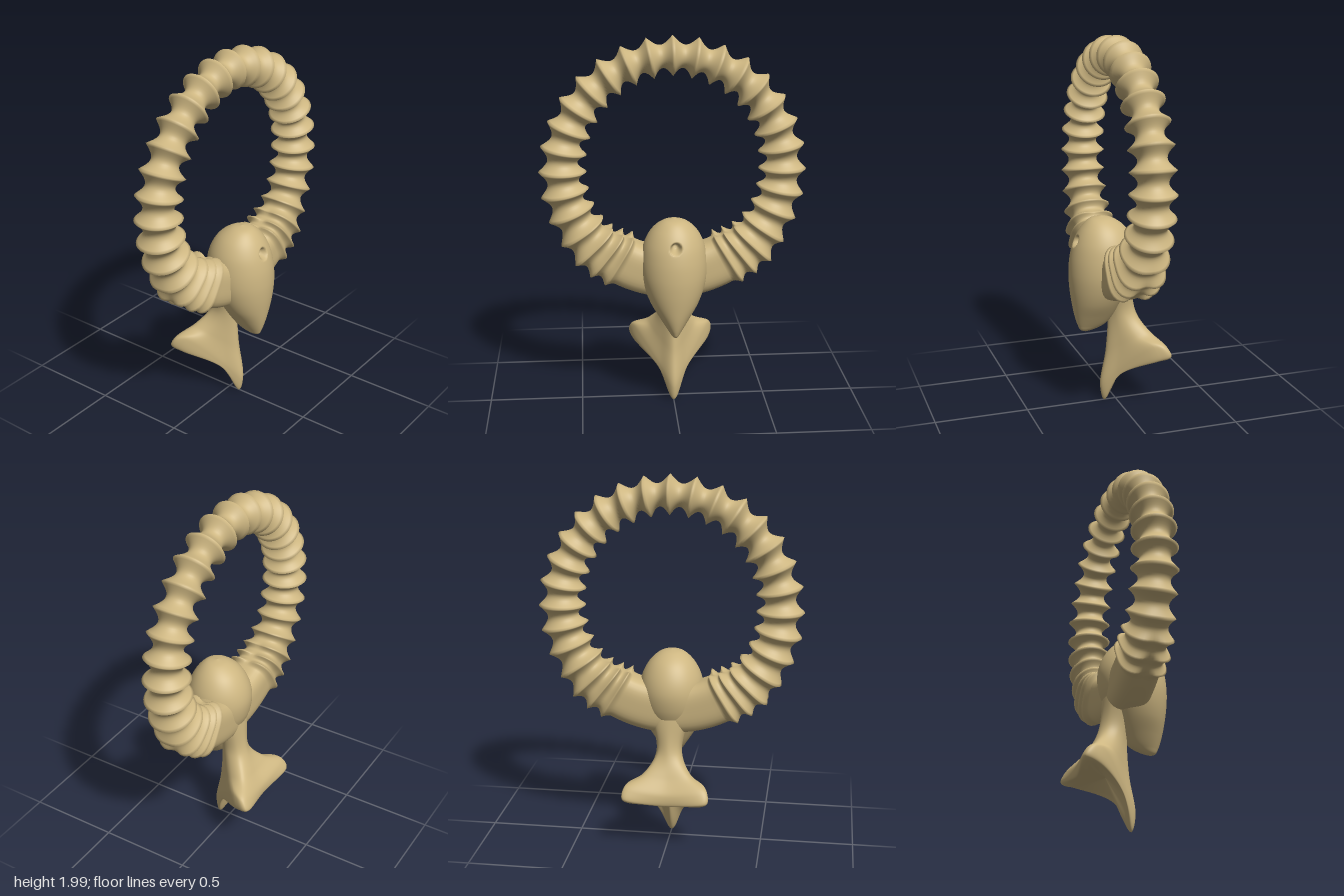
import * as THREE from 'three';

const bone = new THREE.MeshStandardMaterial({ color: 0xcdb681 });
bone.name = 'bone tan';

// Surface through rows of points; every row is a closed loop of equal length
function loft(rows) {
  const n = rows[0].length, pos = [], index = [];
  rows.forEach(r => r.forEach(p => pos.push(p.x, p.y, p.z)));
  for (let i = 0; i < rows.length - 1; i++) {
    for (let j = 0; j < n; j++) {
      const k = (j + 1) % n;
      const a = i * n + j, b = a + n, c = (i + 1) * n + k, d = i * n + k;
      index.push(a, b, d, b, c, d);
    }
  }
  const g = new THREE.BufferGeometry();
  g.setAttribute('position', new THREE.Float32BufferAttribute(pos, 3));
  g.setIndex(index);
  g.computeVertexNormals();
  return g;
}

// Adds smooth in-between rows with a spline down every column
function refine(rows, count) {
  const columns = rows[0].map((_, j) => new THREE.CatmullRomCurve3(rows.map(r => r[j])));
  return Array.from({ length: count + 1 }, (_, i) => columns.map(c => c.getPoint(i / count)));
}

function part(name, geometry) {
  const mesh = new THREE.Mesh(geometry, bone);
  mesh.name = name;
  return mesh;
}

// Linear lookup in a short table of [key, ...values]
function lookup(table, x) {
  let i = 0;
  while (i < table.length - 2 && x > table[i + 1][0]) i++;
  const t = THREE.MathUtils.clamp((x - table[i][0]) / (table[i + 1][0] - table[i][0]), 0, 1);
  return table[i].map((v, k) => v + (table[i + 1][k] - v) * t);
}

// Ribbed hoop: starts and ends inside the body, angle measured from the bottom
function ribbedRing() {
  const half = [31.5, 38.5, 46.5];
  for (let a = 56.25; a < 180; a += 11.25) half.push(a);
  const crests = [...half, 180, ...half.map(a => 360 - a).reverse()];
  // angle, centre radius, radial half, z half, z centre, groove ratio
  const sizes = [
    [0, 0.55, 0.15, 0.12, 0.03, 0.9],
    [31, 0.555, 0.158, 0.13, 0.02, 0.8],
    [46, 0.578, 0.147, 0.13, 0.015, 0.74],
    [62, 0.577, 0.13, 0.125, 0.008, 0.68],
    [90, 0.575, 0.125, 0.12, 0.003, 0.64],
    [140, 0.588, 0.112, 0.112, 0, 0.58],
    [180, 0.596, 0.104, 0.105, -0.003, 0.56],
  ];
  const rows = [];
  const addRow = (deg, crest) => {
    const fold = Math.min(deg, 360 - deg);
    const [, R, a, b, zc, groove] = lookup(sizes, fold);
    const s = groove + (1 - groove) * crest;
    const low = 1 - THREE.MathUtils.smoothstep(fold, 36, 62);
    const phi = THREE.MathUtils.degToRad(deg), row = [];
    for (let j = 0; j < 44; j++) {
      const t = j / 44 * Math.PI * 2, c = Math.cos(t), n = Math.sin(t);
      // squarer section with a notch on the lowest ribs
      const e = 2 + 1.2 * low;
      const square = Math.pow(Math.abs(c) ** e + Math.abs(n) ** e, -1 / e);
      const notch = 1 - 0.2 * low * crest * Math.exp(-((n / 0.28) ** 2));
      const r = R + a * s * c * square * notch;
      row.push(new THREE.Vector3(Math.sin(phi) * r, 1.3 - Math.cos(phi) * r, zc + b * s * n * square));
    }
    rows.push(row);
  };
  for (let d = 4; d < 26; d += 3) addRow(d, 0);
  crests.forEach((a, i) => {
    if (i === 0) for (let k = 0; k < 5; k++) addRow(a - 4 + k * 0.8, 1 - Math.sin((1 - k / 5) * Math.PI / 2));
    const next = crests[i + 1];
    if (next === undefined) {
      for (let k = 0; k <= 5; k++) addRow(a + k * 0.8, 1 - Math.sin(k / 5 * Math.PI / 2));
    } else {
      for (let k = 0; k < 12; k++) addRow(a + (next - a) * k / 12, 1 - Math.sin(k / 12 * Math.PI));
    }
  });
  for (let d = 335; d <= 356; d += 3) addRow(d, 0);
  return loft(rows);
}

// Egg-shaped body narrowing to a beak-like tip, with a dimple in front
function eggBody() {
  // y, half width, front z, back z
  const levels = [
    [1.06, 0, 0.08, 0.08], [1.045, 0.06, 0.14, 0.02], [1.0, 0.115, 0.186, -0.045],
    [0.93, 0.155, 0.224, -0.09], [0.85, 0.173, 0.246, -0.11], [0.76, 0.174, 0.255, -0.1],
    [0.68, 0.157, 0.253, -0.07], [0.6, 0.125, 0.244, -0.03], [0.52, 0.077, 0.23, 0.01],
    [0.46, 0.038, 0.212, 0.06], [0.433, 0.017, 0.197, 0.12], [0.422, 0, 0.17, 0.17],
  ];
  const rows = refine(levels.map(([y, w, f, b]) => Array.from({ length: 140 }, (_, j) => {
    const t = j / 140 * Math.PI * 2;
    return new THREE.Vector3(w * Math.sin(t), y, (f + b) / 2 + (f - b) / 2 * Math.cos(t));
  })), 143);
  rows.flat().forEach(p => {
    const d = Math.hypot(p.x, p.y - 0.932);
    if (p.z > 0.1) p.z -= 0.05 * (1 - THREE.MathUtils.smoothstep(d, 0.01, 0.034));
  });
  return loft(rows);
}

// Three-pronged tail: keel pointing down in front, two horns at the back.
// Each row lists front, side, horn front, horn tip and back, then is mirrored.
function tail() {
  const levels = [
    [[0, 0.72, 0.08], [0.09, 0.72, 0.04], [0.11, 0.72, -0.01], [0.08, 0.72, -0.06], [0, 0.72, -0.08]],
    [[0, 0.52, 0.045], [0.05, 0.52, 0.015], [0.068, 0.52, -0.03], [0.055, 0.52, -0.085], [0, 0.52, -0.11]],
    [[0, 0.3, 0.055], [0.065, 0.35, 0], [0.12, 0.405, -0.08], [0.12, 0.42, -0.15], [0, 0.41, -0.165]],
    [[0, 0.1, 0.088], [0.075, 0.2, 0.01], [0.2, 0.365, -0.145], [0.215, 0.36, -0.215], [0, 0.33, -0.222]],
    [[0, 0.012, 0.066], [0.08, 0.18, 0], [0.212, 0.285, -0.17], [0.222, 0.305, -0.24], [0, 0.272, -0.22]],
    [[0, 0.06, 0.03], [0.06, 0.2, -0.01], [0.165, 0.275, -0.165], [0.165, 0.272, -0.2], [0, 0.275, -0.185]],
    Array(5).fill([0, 0.28, -0.07]),
  ];
  const rows = levels.map(h => {
    const pts = h.map(p => new THREE.Vector3(...p));
    const mirrored = [3, 2, 1].map(k => new THREE.Vector3(-h[k][0], h[k][1], h[k][2]));
    const curve = new THREE.CatmullRomCurve3([...pts, ...mirrored], true);
    return Array.from({ length: 80 }, (_, j) => curve.getPoint(j / 80));
  });
  return loft(refine(rows, 72));
}

export function createModel() {
  const model = new THREE.Group();
  model.name = 'ribbedRingOrnament';
  model.add(part('ribbedRing', ribbedRing()), part('eggBody', eggBody()), part('tail', tail()));
  return model;
}
